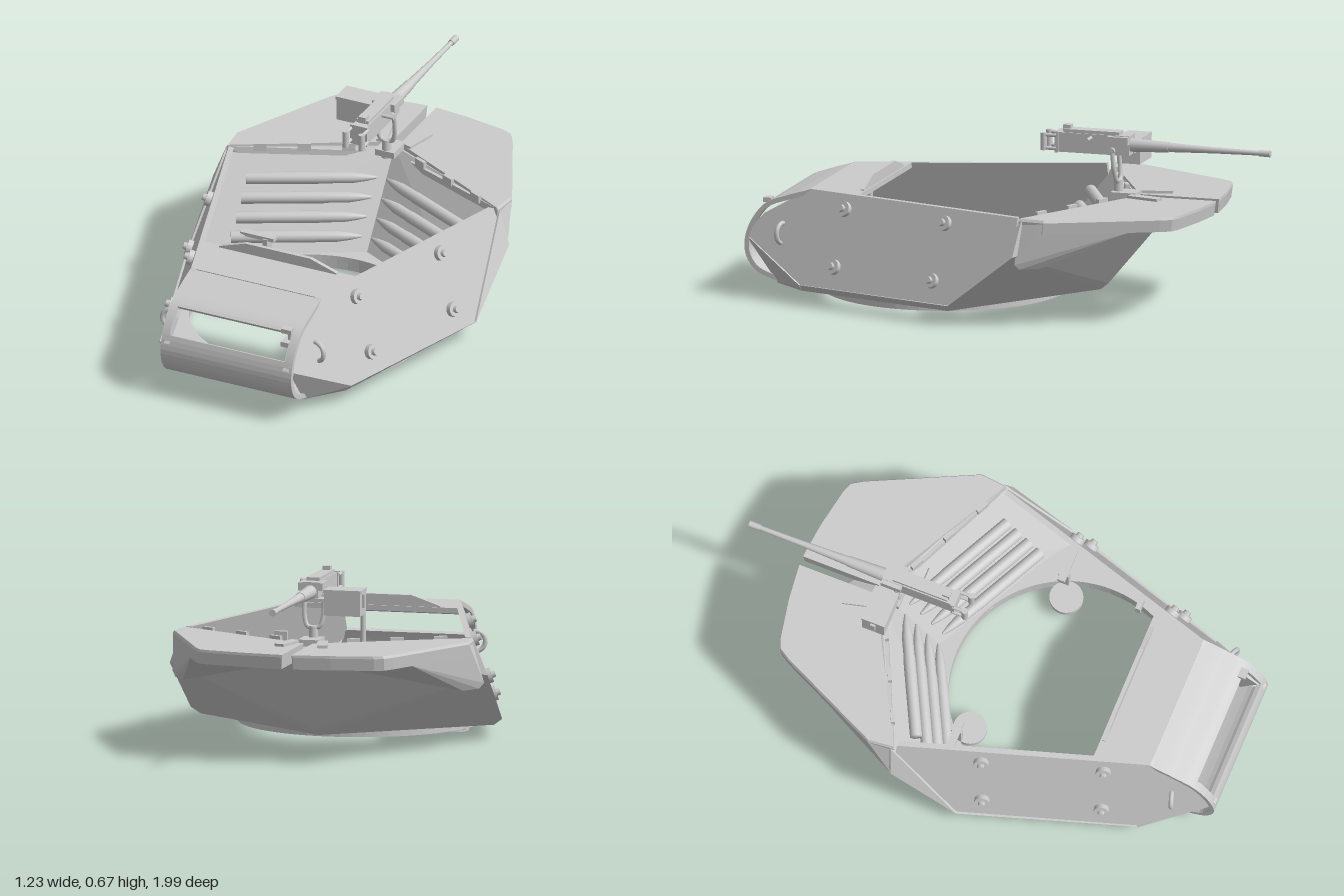
import * as THREE from 'three';
import { ConvexGeometry } from 'three/addons/geometries/ConvexGeometry.js';

const flat = new THREE.MeshStandardMaterial({ color: 0xcccccc, flatShading: true, side: THREE.DoubleSide });
const smooth = new THREE.MeshStandardMaterial({ color: 0xcccccc, side: THREE.DoubleSide });
const V = (x, y, z) => new THREE.Vector3(x, y, z);

export function createModel() {
  const model = new THREE.Group();
  model.name = 'openTurret';

  const add = (name, geo, mat = flat, parent = model) => {
    const m = new THREE.Mesh(geo, mat);
    m.name = name;
    parent.add(m);
    return m;
  };
  const box = (name, w, h, d, x, y, z, parent = model) => {
    const m = add(name, new THREE.BoxGeometry(w, h, d), flat, parent);
    m.position.set(x, y, z);
    return m;
  };
  // cylinder between two points
  const rod = (name, a, b, r0, r1 = r0, sides = 14, parent = model) => {
    const d = b.clone().sub(a);
    const m = add(name, new THREE.CylinderGeometry(r1, r0, d.length(), sides), smooth, parent);
    m.position.copy(a).add(b).multiplyScalar(0.5);
    m.quaternion.setFromUnitVectors(V(0, 1, 0), d.normalize());
    return m;
  };
  // convex solid from corners, s mirrors it across x
  const solid = (name, s, pts) => add(name, new ConvexGeometry(pts.map(([x, y, z]) => V(x * s, y, z))));

  // leaning plane of the side armour
  const sideX = (y, z) => 0.27 + (0.73 - z) * 0.31 + (0.42 - y) * 0.36;
  const sideNormal = V(1, 0.36, 0.31).normalize();

  for (const s of [1, -1]) {
    const n = V(sideNormal.x * s, sideNormal.y, sideNormal.z);

    // side armour with a pointed nose
    const side = [[0.42, 0.73], [0.31, 0.92], [0.23, 0.99], [0.075, 0.73], [0.075, 0.08], [0.28, -0.18], [0.42, -0.18]];
    solid('sideArmour', s, side.flatMap(([y, z]) => {
      const x = sideX(y, z);
      return [[x, y, z], [x - 0.022, y, z]];
    }));
    solid('lowerSideChamfer', s, [[0.40, 0.076, 0.73], [0.605, 0.076, 0.08], [0.57, 0.05, 0.09], [0.375, 0.05, 0.73],
      [0.38, 0.076, 0.73], [0.57, 0.076, 0.08]]);
    solid('noseCheek', s, [[0.262, 0.23, 0.99], [0.403, 0.075, 0.73], [0.262, 0.05, 0.86], [0.375, 0.05, 0.73],
      [0.25, 0.22, 0.96], [0.36, 0.08, 0.73]]);

    // sloped rear wall
    solid('rearWall', s, [[0.605, 0.075, 0.08], [0.617, 0.28, -0.18], [0.57, 0.41, -0.2], [0, 0.36, -0.6], [0, 0.075, -0.36],
      [0, 0.05, -0.33], [0.57, 0.05, 0.09], [0, 0.41, -0.47], [0, 0.06, -0.22], [0.52, 0.06, 0.05]]);

    // rear deck wing with a deeper skirt under its outer corner
    const rim = [[0.018, -0.48], [0.56, -0.19], [0.57, -0.29], [0.38, -0.69], [0.355, -0.73], [0.32, -0.745], [0.16, -0.775], [0.018, -0.79]];
    solid('rearDeck', s, rim.flatMap(([x, z]) => [[x, 0.42, z], [x + 0.006, 0.41, z], [x + 0.004, 0.365, z + 0.006]]));
    solid('deckSkirt', s, [[0.56, 0.415, -0.19], [0.575, 0.41, -0.29], [0.605, 0.25, -0.185], [0.59, 0.23, -0.2], [0.545, 0.23, -0.27],
      [0.43, 0.365, -0.58], [0.03, 0.365, -0.58], [0.1, 0.4, -0.4], [0.4, 0.3, -0.25]]);
    const strip = box('deckStrip', 0.04, 0.012, 0.13, s * 0.068, 0.424, -0.525);
    strip.rotation.y = -s * 0.25;

    // tabs along the top of the rear wall
    for (const x of [0.15, 0.3, 0.45]) {
      const tab = box('wallTab', 0.05, 0.03, 0.015, s * x, 0.415, -0.455 + x * 0.48);
      tab.rotation.y = -s * 0.44;
    }

    // armour bolts
    for (const [z, y] of [[0.57, 0.365], [0.13, 0.365], [0.59, 0.155], [0.16, 0.155]]) {
      const p = V(s * sideX(y, z), y, z);
      const at = (d) => p.clone().addScaledVector(n, d);
      rod('boltWasher', at(-0.005), at(0.02), 0.029, 0.029, 20);
      rod('boltHead', at(0.02), at(0.034), 0.015, 0.013, 6);
    }

    // lifting hook on the nose
    const hook = add('liftingHook', new THREE.TorusGeometry(0.038, 0.009, 8, 18, Math.PI * 1.1), smooth);
    hook.position.set(s * sideX(0.25, 0.83), 0.25, 0.83);
    hook.rotation.set(0, s > 0 ? -0.3 : Math.PI + 0.3, 0);
    hook.rotateZ(-Math.PI * 0.55);

    // stowed shells on the inner rear wall, tips to the centre
    const L = 0.49;
    const profile = [[0, 0], [0.023, 0], [0.023, 0.31], [0.021, 0.33], [0.021, 0.4], [0.014, 0.45], [0.005, L], [0, L]];
    const shellGeo = new THREE.LatheGeometry(profile.map(([r, y]) => new THREE.Vector2(r, y)), 16);
    for (let i = 0; i < 4; i++) {
      const y = 0.14 + i * 0.062, t = (y - 0.06) / 0.35;
      const shell = add('stowedShell', shellGeo, smooth);
      shell.position.set(s * 0.46, y, -0.22 - 0.25 * t + 0.5 * 0.46 + 0.04);
      shell.quaternion.setFromUnitVectors(V(0, 1, 0), V(-s * 0.43, 0, -0.215).normalize());
    }
  }

  // floor with a round opening
  const floor = new THREE.Shape([[0.26, 0.86], [0.375, 0.73], [0.57, 0.09], [0, -0.33], [-0.57, 0.09], [-0.375, 0.73], [-0.26, 0.86]]
    .map(([x, z]) => new THREE.Vector2(x, -z)));
  floor.holes.push(new THREE.Path().absarc(0, -0.285, 0.445, 0, Math.PI * 2));
  const floorMesh = add('floor', new THREE.ExtrudeGeometry(floor, { depth: 0.025, bevelEnabled: false, curveSegments: 48 }));
  floorMesh.rotation.x = -Math.PI / 2;
  floorMesh.position.y = 0.05;

  // turret ring
  const ring = add('turretRing', new THREE.LatheGeometry([[0.445, 0.06], [0.445, 0.022], [0.463, 0.022], [0.463, 0.06]]
    .map(([r, y]) => new THREE.Vector2(r, y)), 64));
  ring.position.z = 0.285;

  // roof plate and its upright guard
  solid('roofPlate', 1, [1, -1].flatMap(s => [0.42, 0.4].flatMap(y => [[s * 0.335, y, 0.52], [s * 0.27, y, 0.73]])));
  solid('roofGuard', 1, [1, -1].flatMap(s => [0.525, 0.54].flatMap(z => [[s * 0.245, 0.415, z], [s * 0.245, 0.425, z], [s * 0.135, 0.462, z]])));

  // curved front shield, cut by a wide slot
  const curve = new THREE.CatmullRomCurve3([[0.72, 0.42], [0.82, 0.39], [0.91, 0.352], [0.975, 0.26], [0.988, 0.17], [0.95, 0.1], [0.85, 0.055]]
    .map(([z, y]) => V(z, y, 0)));
  const shield = (name, t0, t1, x0, x1) => {
    const outer = [], inner = [];
    for (let i = 0; i <= 14; i++) {
      const t = t0 + (t1 - t0) * i / 14, p = curve.getPoint(t), d = curve.getTangent(t);
      outer.push(new THREE.Vector2(p.x, p.y));
      inner.unshift(new THREE.Vector2(p.x + d.y * 0.018, p.y - d.x * 0.018));
    }
    const geo = new THREE.ExtrudeGeometry(new THREE.Shape([...outer, ...inner]), { depth: x1 - x0, bevelEnabled: false });
    geo.rotateY(-Math.PI / 2).translate(x1, 0, 0);
    add(name, geo);
  };
  shield('shieldTop', 0, 2 / 6, -0.272, 0.272);
  shield('shieldBottom', 3 / 6, 1, -0.272, 0.272);
  shield('shieldLeftEdge', 2 / 6, 3 / 6, 0.24, 0.272);
  shield('shieldRightEdge', 2 / 6, 3 / 6, -0.272, -0.24);
  box('slotLatch', 0.04, 0.018, 0.03, 0.22, 0.36, 0.91);

  // hanging post with a foot
  rod('hangingPost', V(0.063, 0.41, 0.56), V(0.063, 0.1, 0.56), 0.01);
  box('postFoot', 0.05, 0.02, 0.07, 0.063, 0.1, 0.56);

  // crew seats on wall brackets
  for (const [x, y, z] of [[-0.265, 0.06, 0], [-0.365, 0.01, 0.25], [0.355, 0.06, 0.14]]) {
    const s = Math.sign(x);
    rod('seat', V(x, y - 0.01, z), V(x, y + 0.01, z), 0.064, 0.064, 32);
    box('seatBracket', 0.02, 0.1, 0.04, x + s * 0.055, y + 0.05, z - 0.03);
    box('seatArm', 0.14, 0.015, 0.03, x + s * 0.09, y + 0.1, z - 0.03);
  }
  box('wallBracket', 0.05, 0.04, 0.02, 0.35, 0.3, 0.44);

  // machine gun pointing to the rear
  const gun = new THREE.Group();
  gun.name = 'machineGun';
  model.add(gun);
  const gunRod = (name, z0, z1, r0, r1, y = 0.61, x = 0) => rod(name, V(x, y, z0), V(x, y, z1), r0, r1, 16, gun);
  box('receiver', 0.06, 0.075, 0.28, 0, 0.61, -0.31, gun);
  box('topCover', 0.05, 0.016, 0.22, 0, 0.652, -0.3, gun);
  box('rearSight', 0.03, 0.025, 0.03, 0, 0.662, -0.2, gun);
  box('backPlate', 0.07, 0.08, 0.015, 0, 0.61, -0.165, gun);
  box('feedTray', 0.095, 0.03, 0.08, 0, 0.63, -0.41, gun);
  gunRod('barrelJacket', -0.45, -0.6, 0.026, 0.02);
  gunRod('barrel', -0.6, -0.78, 0.018, 0.012);
  gunRod('barrelTip', -0.78, -0.96, 0.012, 0.009);
  gunRod('muzzle', -0.955, -1.0, 0.012, 0.013);
  for (const s of [1, -1]) {
    gunRod('gripArm', -0.165, -0.115, 0.007, 0.007, 0.635, s * 0.033);
    gunRod('gripArm', -0.165, -0.115, 0.007, 0.007, 0.585, s * 0.033);
    rod('grip', V(s * 0.033, 0.577, -0.115), V(s * 0.033, 0.643, -0.115), 0.012, 0.012, 12, gun);
  }
  rod('chargingHandle', V(0.025, 0.633, -0.3), V(0.078, 0.633, -0.3), 0.007, 0.007, 10, gun);

  // ammunition box and feed belt
  box('ammunitionBox', 0.14, 0.09, 0.09, -0.127, 0.57, -0.42, gun);
  box('ammunitionLid', 0.145, 0.012, 0.095, -0.127, 0.617, -0.42, gun);
  box('boxTray', 0.05, 0.012, 0.07, -0.045, 0.58, -0.42, gun);
  box('boxClasp', 0.012, 0.05, 0.02, -0.2, 0.58, -0.42, gun);

  // yoke and pedestal
  const yoke = new THREE.CatmullRomCurve3([V(-0.037, 0.6, -0.385), V(-0.036, 0.51, -0.395), V(-0.022, 0.473, -0.4),
    V(0.022, 0.473, -0.4), V(0.036, 0.51, -0.395), V(0.037, 0.6, -0.385)]);
  add('yoke', new THREE.TubeGeometry(yoke, 32, 0.009, 8), smooth, gun);
  rod('yokePin', V(-0.045, 0.59, -0.385), V(0.045, 0.59, -0.385), 0.012, 0.012, 12, gun);
  rod('pedestal', V(0, 0.4, -0.4), V(0, 0.475, -0.4), 0.02, 0.016, 16, gun);
  box('pedestalBase', 0.08, 0.025, 0.1, 0, 0.42, -0.43, gun);

  return model;
}
